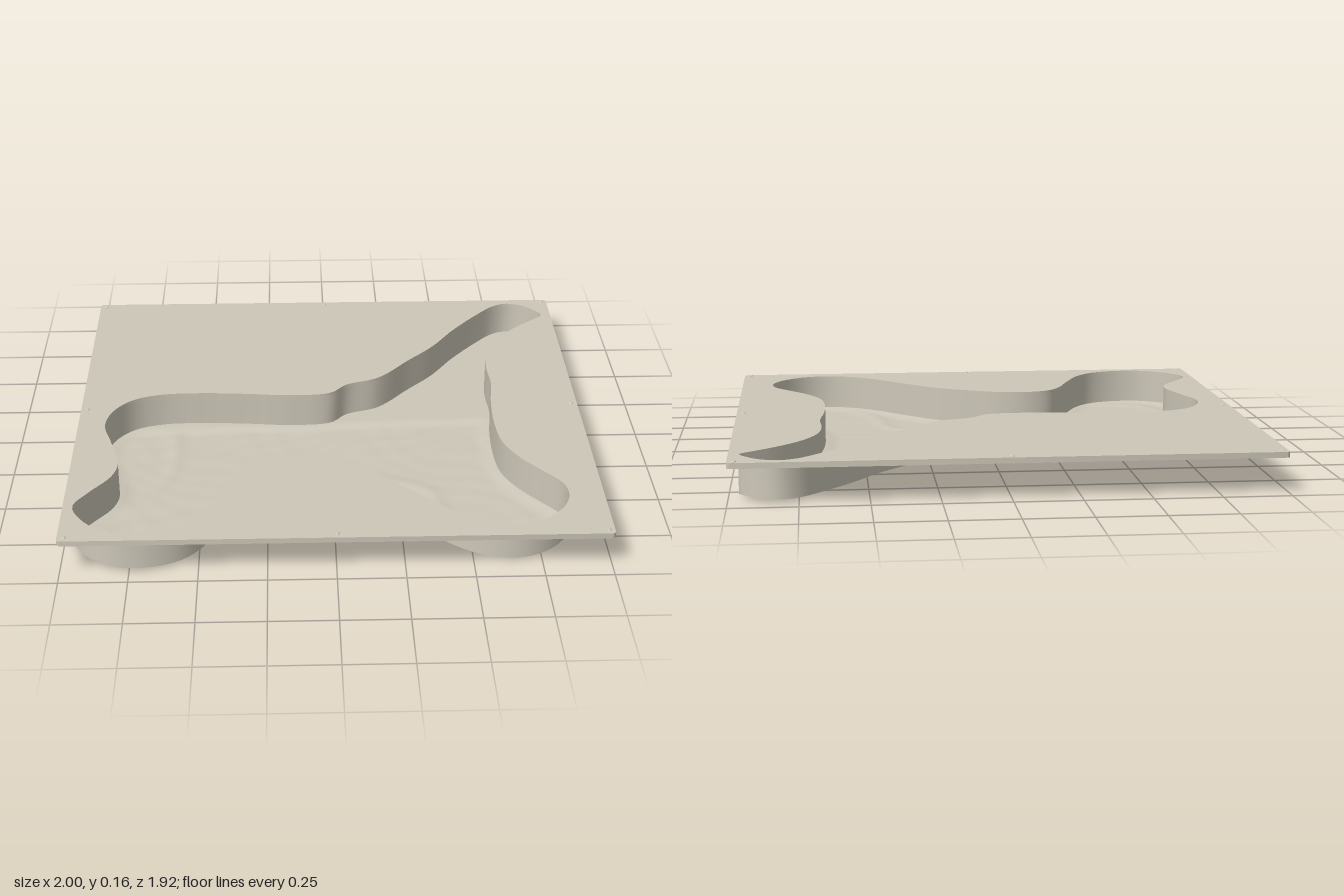
import * as THREE from 'three';
import { toCreasedNormals } from 'three/addons/utils/BufferGeometryUtils.js';

const PLATE_BOTTOM = 0.132, PLATE_TOP = 0.153, FLOOR = 0.013;

// Cavity outline as x, z pairs, clockwise seen from above
const OUTLINE = [
  0.82, -0.925, 0.89, -0.9, 0.955, -0.825, 0.962, -0.805, 0.92, -0.765, 0.835, -0.69, 0.74, -0.58, 0.68, -0.45,
  0.665, -0.32, 0.67, -0.18, 0.653, -0.02, 0.648, 0.14, 0.664, 0.3, 0.718, 0.42, 0.803, 0.535, 0.857, 0.61,
  0.868, 0.7, 0.83, 0.79, 0.74, 0.868, 0.643, 0.892, 0.535, 0.868, 0.434, 0.8, 0.3, 0.664, 0.166, 0.535,
  0.03, 0.455, -0.1, 0.4, -0.21, 0.39, -0.31, 0.423, -0.364, 0.493, -0.418, 0.632, -0.482, 0.777, -0.557, 0.868,
  -0.643, 0.91, -0.734, 0.922, -0.825, 0.903, -0.916, 0.83, -0.964, 0.728, -0.916, 0.637, -0.84, 0.525,
  -0.82, 0.434, -0.857, 0.273, -0.894, 0.129, -0.868, 0.016, -0.798, -0.07, -0.69, -0.113, -0.53, -0.123,
  -0.343, -0.113, -0.155, -0.096, 0.005, -0.113, 0.075, -0.182, 0.204, -0.236, 0.343, -0.39, 0.45, -0.51,
  0.557, -0.67, 0.686, -0.83, 0.755, -0.9,
];

// Shallow creases pressed into the floor
const CREASES = [
  [-0.63, -0.08, -0.62, 0.1, -0.63, 0.27, -0.7, 0.43, -0.8, 0.54],
  [-0.02, 0.38, 0.1, 0.345, 0.22, 0.34, 0.36, 0.4, 0.4, 0.5, 0.42, 0.65, 0.5, 0.8],
  [-0.86, 0.68, -0.78, 0.83, -0.6, 0.87],
];

function smoothCurve(flat, closed) {
  const points = [];
  for (let i = 0; i < flat.length; i += 2) points.push(new THREE.Vector3(flat[i], -flat[i + 1], 0));
  return new THREE.CatmullRomCurve3(points, closed);
}

// Points around the cavity, pushed outward by an offset (y holds -z)
function outlinePoints(offset) {
  const curve = smoothCurve(OUTLINE, true), points = [];
  for (let i = 0; i < 280; i++) {
    const p = curve.getPointAt(i / 280), t = curve.getTangentAt(i / 280);
    points.push(new THREE.Vector2(p.x - t.y * offset, p.y + t.x * offset));
  }
  return points;
}

// Extrude a plan shape upward between two heights
function slab(shape, y0, y1) {
  const geo = new THREE.ExtrudeGeometry(shape, { depth: y1 - y0, bevelEnabled: false, curveSegments: 6 });
  geo.rotateX(-Math.PI / 2).translate(0, y0, 0);
  return toCreasedNormals(geo, 0.6);
}

function plateShape(w, d, r) {
  const s = new THREE.Shape();
  s.absarc(w - r, d - r, r, 0, Math.PI / 2);
  s.absarc(r - w, d - r, r, Math.PI / 2, Math.PI);
  s.absarc(r - w, r - d, r, Math.PI, Math.PI * 1.5);
  s.absarc(w - r, r - d, r, Math.PI * 1.5, Math.PI * 2);
  return s;
}

function isInside(p, poly) {
  let inside = false;
  for (let i = 0, j = poly.length - 1; i < poly.length; j = i++) {
    const a = poly[i], b = poly[j];
    if ((a.y > p.y) !== (b.y > p.y) && p.x < ((b.x - a.x) * (p.y - a.y)) / (b.y - a.y) + a.x) inside = !inside;
  }
  return inside;
}

function nearest(p, list) {
  let best = list[0], d = Infinity;
  for (const q of list) {
    const e = (q.x - p.x) ** 2 + (q.y - p.y) ** 2;
    if (e < d) { d = e; best = q; }
  }
  return { point: best, distance: Math.sqrt(d) };
}

// Floor grid, snapped to the wall at its border, with gentle relief
function floorGeometry(border) {
  const n = 110, creases = CREASES.flatMap((c) => smoothCurve(c, false).getSpacedPoints(50));
  const pos = [], inside = [], index = [];
  for (let j = 0; j <= n; j++) {
    for (let i = 0; i <= n; i++) {
      let p = new THREE.Vector2((2 * i) / n - 1, 1 - (2 * j) / n);
      const hit = nearest(p, border), within = isInside(p, border);
      if (!within) p = hit.point;
      const x = p.x, z = -p.y;
      const fade = within ? THREE.MathUtils.smoothstep(hit.distance, 0, 0.06) : 0;
      const step = THREE.MathUtils.smoothstep(z, -0.11 - 0.04 * x, -0.06 - 0.04 * x);
      const ripple = 0.0012 * Math.sin(31 * x + 3 * Math.sin(9 * z)) * Math.sin(43 * z + 2 * Math.sin(13 * x));
      const crease = 0.005 * Math.exp(-((nearest(p, creases).distance / 0.028) ** 2));
      pos.push(x, FLOOR + fade * step * (ripple + crease - 0.01), z);
      inside.push(within);
    }
  }
  for (let j = 0; j < n; j++) {
    for (let i = 0; i < n; i++) {
      const a = j * (n + 1) + i, b = a + 1, c = a + n + 1, d = c + 1;
      if (inside[a] || inside[b] || inside[c] || inside[d]) index.push(a, c, b, b, c, d);
    }
  }
  const geo = new THREE.BufferGeometry();
  geo.setAttribute('position', new THREE.Float32BufferAttribute(pos, 3));
  geo.setIndex(index);
  geo.computeVertexNormals();
  return geo;
}

export function createModel() {
  const group = new THREE.Group();
  const stone = new THREE.MeshStandardMaterial({ color: 0xcdc7b8 });
  stone.name = 'warm grey';
  stone.side = THREE.DoubleSide;
  const add = (name, geo) => {
    const mesh = new THREE.Mesh(geo, stone);
    mesh.name = name;
    group.add(mesh);
    return mesh;
  };

  const inner = outlinePoints(0), outer = outlinePoints(0.006);

  // Flat square plate with the cavity cut through it
  const plate = plateShape(1, 0.96, 0.015);
  plate.holes.push(new THREE.Path(inner));
  add('plate', slab(plate, PLATE_BOTTOM, PLATE_TOP));

  // Thin wall hanging below the plate
  const wall = new THREE.Shape(outer);
  wall.holes.push(new THREE.Path(inner));
  add('cavityWall', slab(wall, FLOOR, PLATE_BOTTOM));

  add('cavityFloor', floorGeometry(outer));

  // Small locating nubs at the corners and edge middles
  for (const x of [-1, 0, 1]) {
    for (const z of [-1, 0, 1]) {
      if (x === 0 && z === 0) continue;
      const nub = add('nub', new THREE.SphereGeometry(0.01, 10, 5, 0, Math.PI * 2, 0, Math.PI / 2));
      nub.scale.y = 0.5;
      nub.position.set(x * 0.975, PLATE_TOP, z * 0.935);
    }
  }
  return group;
}
